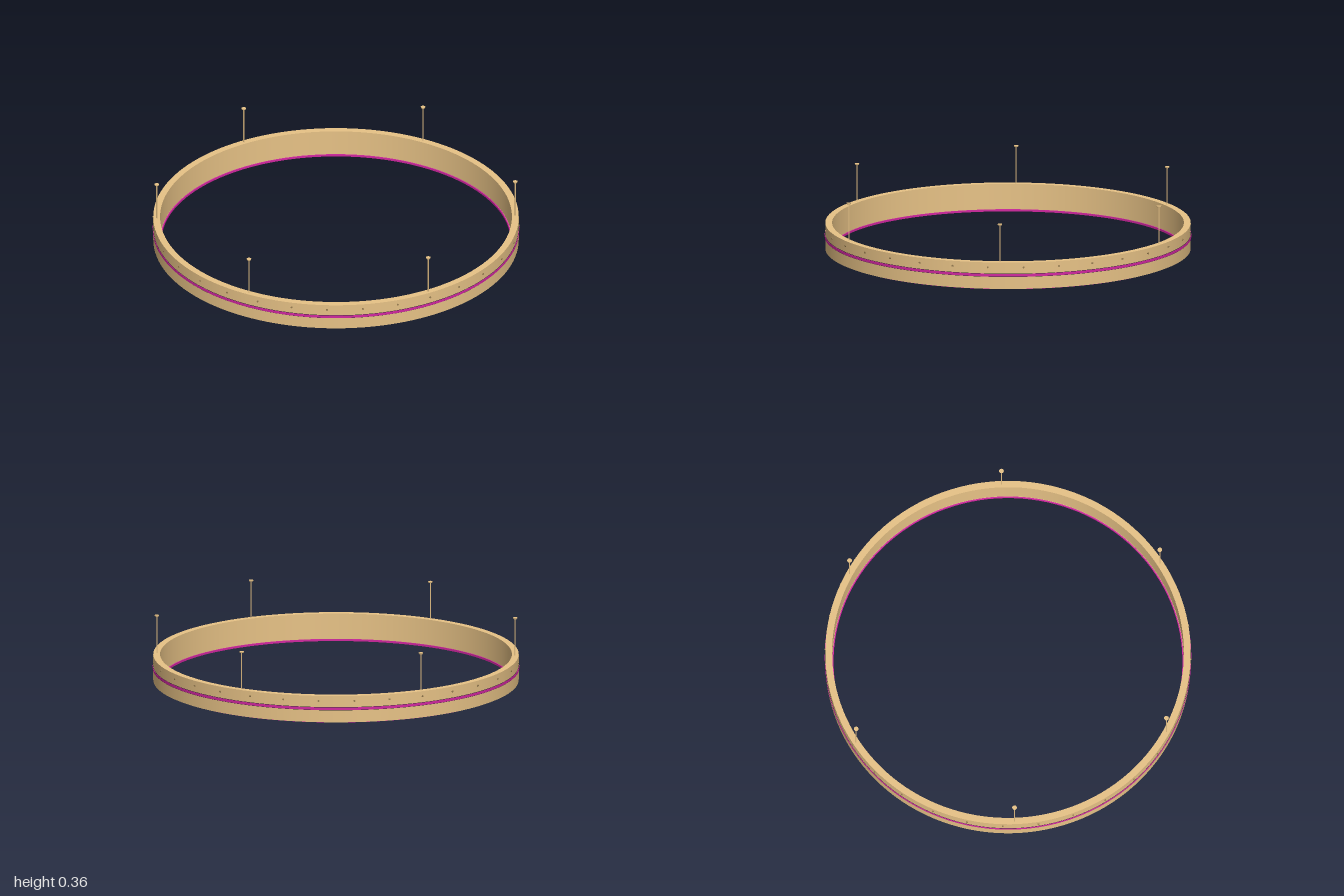
import * as THREE from 'three';
import { mergeGeometries } from 'three/addons/utils/BufferGeometryUtils.js';

const mat = (name, color) => {
  const m = new THREE.MeshStandardMaterial({ color });
  m.name = name;
  return m;
};

// Rectangular-section ring with crisp edges: one lathe per side
function ringGeometry(inner, outer, y0, y1) {
  const c = [[outer, y0], [outer, y1], [inner, y1], [inner, y0]].map(p => new THREE.Vector2(...p));
  return mergeGeometries(c.map((p, i) => new THREE.LatheGeometry([p, c[(i + 1) % 4]], 128)));
}

export function createModel() {
  const group = new THREE.Group();
  const brass = mat('brushed brass', 0xeec88a);
  const bronze = mat('screw bronze', 0x9a7f52);
  const dark = mat('charcoal', 0x35302e);
  const glow = mat('magenta light', 0xd0269f);

  const add = (name, geometry, material, parent = group) => {
    const mesh = new THREE.Mesh(geometry, material);
    mesh.name = name;
    parent.add(mesh);
    return mesh;
  };

  // Hoop body, with a light strip in a dark channel round its outside
  add('hoop', ringGeometry(0.955, 0.992, 0.01, 0.153), brass);
  add('outerChannel', ringGeometry(0.987, 0.993, 0.0735, 0.0915), dark);
  add('outerLightStrip', ringGeometry(0.988, 0.995, 0.0755, 0.0895), glow);

  // Lower rail, with light strips inside and below
  add('lowerRail', ringGeometry(0.952, 0.976, 0.003, 0.011), brass);
  add('innerLightStrip', ringGeometry(0.947, 0.953, 0.002, 0.013), glow);
  add('lowerLightStrip', ringGeometry(0.96, 0.967, 0, 0.004), glow);

  // Small screws round the upper band
  const screwGeo = new THREE.CylinderGeometry(0.005, 0.005, 0.012, 16).rotateX(Math.PI / 2);
  for (let i = 0; i < 32; i++) {
    const a = (i / 32) * Math.PI * 2;
    const screw = add('screw', screwGeo, bronze);
    screw.position.set(Math.sin(a) * 0.991, 0.126, Math.cos(a) * 0.991);
    screw.rotation.y = a;
  }

  // Six hanging rods with flared caps
  const rodGeo = new THREE.CylinderGeometry(0.003, 0.003, 0.205, 20);
  const capGeo = new THREE.CylinderGeometry(0.013, 0.011, 0.007, 20);
  for (let i = 0; i < 6; i++) {
    const a = (i / 6) * Math.PI * 2;
    const hanger = new THREE.Group();
    hanger.name = 'hanger';
    hanger.position.set(Math.sin(a) * 0.973, 0, Math.cos(a) * 0.973);
    add('hangerRod', rodGeo, brass, hanger).position.y = 0.255;
    add('hangerCap', capGeo, brass, hanger).position.y = 0.36;
    group.add(hanger);
  }
  return group;
}
